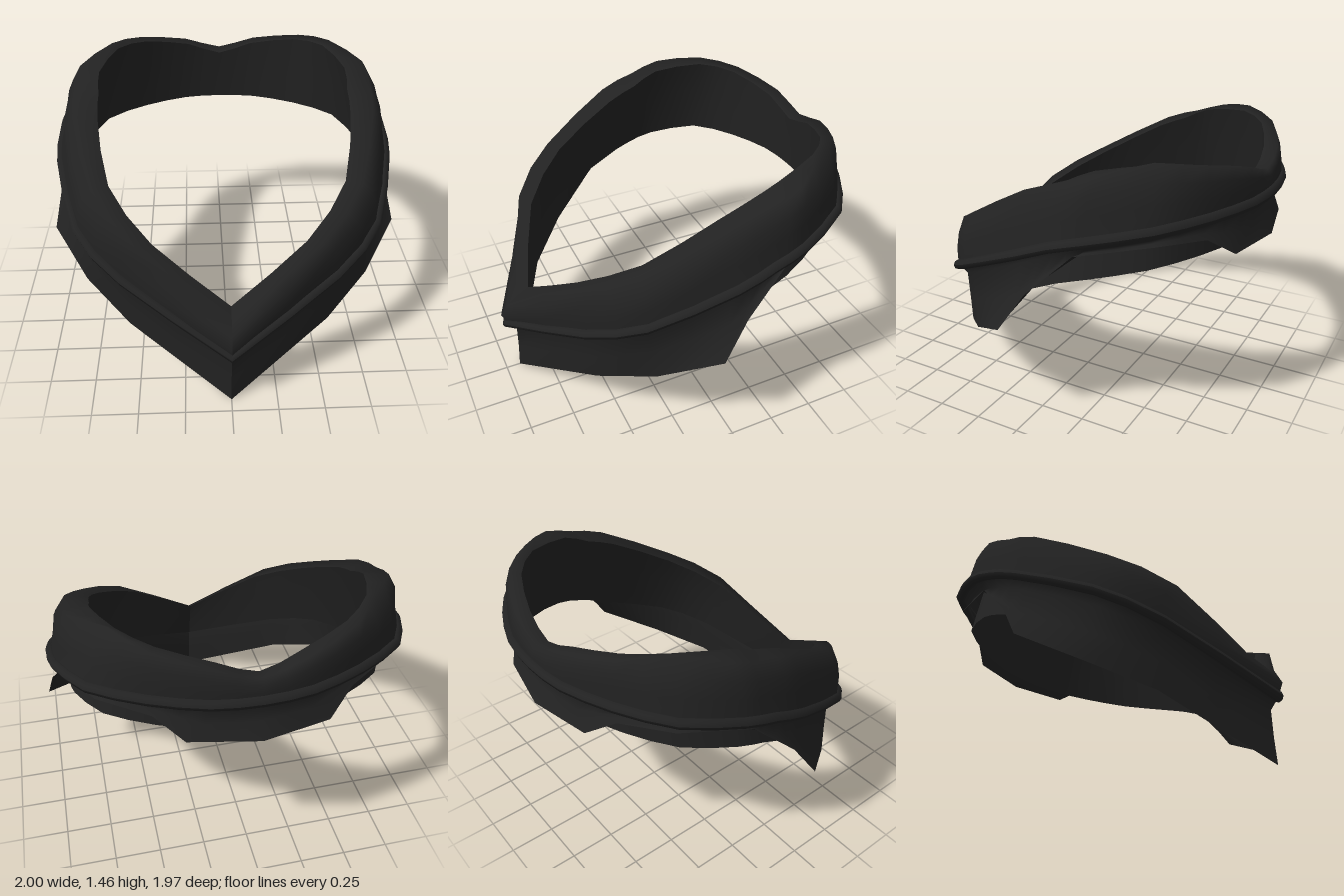
import * as THREE from 'three';

const SEGMENTS = 36;

// Closed path around the neck from the front point: half its keys, then their mirror.
// Tension 0 gives straight runs between keys.
function around(keys, tension) {
  const half = keys.map(k => new THREE.Vector3(...k));
  const mirror = half.slice(0, -1).reverse().map(v => new THREE.Vector3(-v.x, v.y, v.z));
  return new THREE.CatmullRomCurve3([...half, ...mirror], false, 'catmullrom', tension);
}

// Piping line on the seam
const seam = around([
  [0, .35, .98], [.58, .64, .68], [.83, .79, .43], [.955, .98, 0], [.96, 1.06, -.2],
  [.94, 1.11, -.38], [.8, 1.165, -.67], [.53, 1.18, -.85], [.25, 1.185, -.96], [0, 1.185, -.985],
], .4);
// Top of the rolled collar
const ridge = around([
  [0, .53, .88], [.48, .87, .69], [.71, 1.05, .42], [.83, 1.28, 0], [.84, 1.345, -.2],
  [.83, 1.405, -.38], [.66, 1.455, -.6], [.5, 1.42, -.79], [.22, 1.36, -.91], [0, 1.295, -.93],
], .4);
// Inner edge of the opening
const opening = around([
  [0, .57, .81], [.4, .85, .64], [.63, 1.04, .37], [.705, 1.25, 0], [.71, 1.32, -.17],
  [.715, 1.39, -.32], [.62, 1.43, -.58], [.46, 1.41, -.74], [.2, 1.35, -.84], [0, 1.28, -.86],
], .4);
// Flap hem, with side points and a tab at the back
const hem = around([
  [0, 0, .92], [.55, .29, .61], [.8, .42, .37], [1, .58, .08], [.96, .79, -.06],
  [.9, 1.02, -.3], [.755, 1.085, -.65], [.5, 1.06, -.81], [.36, .955, -.91], [0, .95, -.98],
], 0);

// Move a point toward the vertical axis and shift it in height
const inset = (v, k, dy = 0) => new THREE.Vector3(v.x * k, v.y + dy, v.z * k);
// Blend two points, with separate amounts across and up
const blend = (a, c, across, up) => {
  const v = a.clone().lerp(c, across);
  v.y = THREE.MathUtils.lerp(a.y, c.y, up);
  return v;
};

// Loft a cross-section around the neck; the ends stay unjoined so the front point is sharp
function loft(section) {
  const rows = Array.from({ length: SEGMENTS + 1 }, (_, s) => section(s / SEGMENTS));
  const n = rows[0].length;
  const index = [];
  for (let s = 0; s < SEGMENTS; s++) {
    for (let j = 0; j < n - 1; j++) {
      const a = s * n + j, c = a + n;
      index.push(a, c, c + 1, a, c + 1, a + 1);
    }
  }
  const geometry = new THREE.BufferGeometry().setFromPoints(rows.flat());
  geometry.setIndex(index);
  geometry.computeVertexNormals();
  return geometry;
}

export function createModel() {
  const group = new THREE.Group();
  const cloth = new THREE.MeshStandardMaterial({ color: 0x222222, side: THREE.DoubleSide });
  cloth.name = 'black cloth';

  const add = (name, section) => {
    const mesh = new THREE.Mesh(loft(section), cloth);
    mesh.name = name;
    group.add(mesh);
  };

  // Rolled upper collar: bulges forward at the front and leans in at the sides
  add('upperCollar', t => {
    const base = inset(seam.getPoint(t), .975);
    const top = ridge.getPoint(t);
    const side = Math.abs(base.x), front = Math.max(base.z, 0);
    return [
      base,
      blend(base, top, .3 * side - .4 * front, .4),
      blend(base, top, .3 + .15 * side - .2 * front, .72),
      top,
      opening.getPoint(t),
    ];
  });

  // Flared, hollow-curved lower flap with a narrow neck under the piping
  add('lowerFlap', t => {
    const p = seam.getPoint(t);
    const edge = hem.getPoint(t);
    const neck = inset(p, .925, -.06);
    return [edge, blend(edge, neck, .7, .5), neck, inset(p, .975)];
  });

  // Inner lining, from the inner edge down to its own hem
  add('lining', t => {
    const edge = opening.getPoint(t);
    const bottom = inset(seam.getPoint(t), .9);
    bottom.y -= Math.min(.22, .05 + .27 * (bottom.y - .35));
    return [edge, blend(edge, bottom, .45, .4), bottom];
  });

  // Round piping along the seam
  add('piping', t => {
    const p = seam.getPoint(t);
    const centre = inset(p, .975);
    const outward = new THREE.Vector3(p.x, 0, p.z).normalize();
    return Array.from({ length: 9 }, (_, k) => {
      const angle = k / 8 * Math.PI * 2;
      const v = centre.clone().addScaledVector(outward, Math.cos(angle) * .028);
      v.y += Math.sin(angle) * .03;
      return v;
    });
  });

  return group;
}
